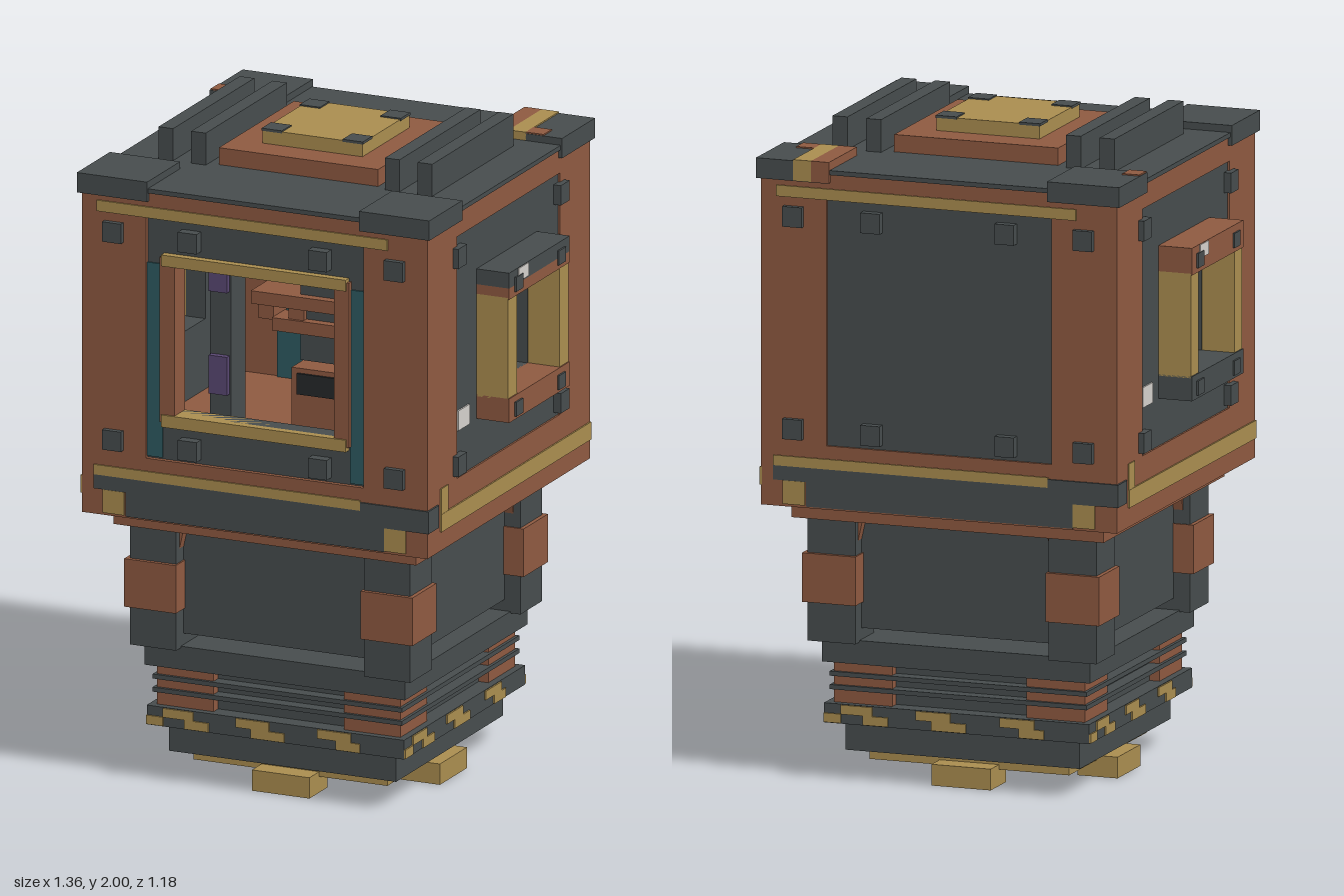
import * as THREE from 'three';

const mat = (name, color) => {
  const m = new THREE.MeshStandardMaterial({ color });
  m.name = name;
  return m;
};

export function createModel() {
  const dark = mat('dark steel', 0x474d4e), rust = mat('rust', 0x8f5a41), gold = mat('brass', 0xab8e50);
  const teal = mat('teal', 0x2e5b62), purple = mat('purple', 0x5a4873);
  const pale = mat('pale grey', 0xd6d2cd), grey = mat('grey', 0x6b6766), black = mat('black', 0x25292a);
  const root = new THREE.Group();
  root.name = 'device';

  // Box given by its limits on each axis
  const box = (parent, name, m, x0, x1, y0, y1, z0, z1) => {
    const mesh = new THREE.Mesh(new THREE.BoxGeometry(x1 - x0, y1 - y0, z1 - z0), m);
    mesh.position.set((x0 + x1) / 2, (y0 + y1) / 2, (z0 + z1) / 2);
    mesh.name = name;
    parent.add(mesh);
    return mesh;
  };
  // Centred square slab
  const slab = (name, m, half, y0, y1) => box(root, name, m, -half, half, y0, y1, -half, half);
  // Square block repeated at the four corners
  const corners = (name, m, a, b, y0, y1) => {
    for (const sx of [-1, 1]) for (const sz of [-1, 1]) {
      const c = sx * (a + b) / 2, d = sz * (a + b) / 2, h = (b - a) / 2;
      box(root, name, m, c - h, c + h, y0, y1, d - h, d + h);
    }
  };
  // Groups for the four sides, each built as if facing +z
  const sides = ['front', 'left', 'back', 'right'].map((n, i) => {
    const g = new THREE.Group();
    g.name = n + 'Side';
    g.rotation.y = i * Math.PI / 2;
    root.add(g);
    return g;
  });
  const [front, left, back, right] = sides;
  // Flat panel with a rectangular hole
  const holedPanel = (parent, name, m, [x, y0, y1], [hx, h0, h1], z, depth) => {
    const rect = (P, w, a, b) => {
      const p = new P();
      p.moveTo(-w, a); p.lineTo(w, a); p.lineTo(w, b); p.lineTo(-w, b); p.closePath();
      return p;
    };
    const s = rect(THREE.Shape, x, y0, y1);
    s.holes.push(rect(THREE.Path, hx, h0, h1));
    const mesh = new THREE.Mesh(new THREE.ExtrudeGeometry(s, { depth, bevelEnabled: false }), m);
    mesh.position.z = z;
    mesh.name = name;
    parent.add(mesh);
  };

  // Feet, socket and stacked base
  slab('footPlate', gold, 0.32, 0.05, 0.085);
  box(root, 'socketRing', pale, -0.135, 0.135, 0.02, 0.05, -0.135, 0.135).rotation.y = Math.PI / 4;
  box(root, 'socket', grey, -0.095, 0.095, 0.003, 0.02, -0.095, 0.095).rotation.y = Math.PI / 4;
  slab('lowerBase', dark, 0.375, 0.085, 0.175);
  slab('hazardPlate', dark, 0.425, 0.175, 0.235);
  slab('finCore', dark, 0.37, 0.235, 0.365);
  slab('lowerFin', dark, 0.412, 0.275, 0.289);
  slab('upperFin', dark, 0.412, 0.316, 0.33);
  corners('baseCornerBlock', rust, 0.215, 0.402, 0.235, 0.362);
  slab('upperBase', dark, 0.43, 0.362, 0.435);
  const stripes = [[-0.425, -0.37, 0], [-0.37, -0.27, 1], [-0.3, -0.22, 0], [-0.13, -0.02, 1],
    [-0.08, 0.03, 0], [0.14, 0.25, 1], [0.2, 0.28, 0]];
  for (const s of sides) {
    box(s, 'foot', gold, -0.095, 0.095, 0, 0.065, 0.26, 0.388);
    for (const [a, b, up] of stripes)
      box(s, 'hazardStripe', gold, a, b, 0.177 + up * 0.028, 0.205 + up * 0.028, 0.424, 0.43);
    // Neck panel and gussets
    box(s, 'neckPanel', dark, -0.32, 0.32, 0.47, 0.81, 0.36, 0.41);
    for (const d of [-1, 1]) {
      const tri = new THREE.Shape([[0.315, 0.81], [0.295, 0.81], [0.315, 0.72]].map(p => new THREE.Vector2(p[0] * d, p[1])));
      const gusset = new THREE.Mesh(new THREE.ExtrudeGeometry(tri, { depth: 0.03, bevelEnabled: false }), rust);
      gusset.position.z = 0.41;
      gusset.name = 'gusset';
      s.add(gusset);
    }
  }

  // Neck posts with cuffs
  slab('neckCore', dark, 0.3, 0.48, 0.81);
  slab('neckUnderside', purple, 0.11, 0.46, 0.48);
  corners('neckPost', dark, 0.31, 0.463, 0.43, 0.815);
  corners('neckCuff', rust, 0.305, 0.476, 0.55, 0.7);
  slab('collar', rust, 0.5, 0.812, 0.862);

  // Main housing
  slab('housingFloor', rust, 0.57, 0.86, 1.055);
  corners('pillar', rust, 0.36, 0.57, 1.05, 1.82);
  slab('housingTop', rust, 0.57, 1.81, 1.886);
  slab('roof', dark, 0.577, 1.886, 1.9);
  corners('roofCap', dark, 0.35, 0.582, 1.86, 1.922);
  box(back, 'backPanel', dark, -0.36, 0.36, 1.05, 1.81, 0.5, 0.562);

  // Front window wall and frame
  holedPanel(front, 'windowWall', dark, [0.36, 1.05, 1.81], [0.27, 1.2, 1.66], 0.5, 0.055);
  for (const d of [-1, 1]) {
    const x = d * 0.335, f = d * 0.288, p = d * 0.24;
    box(front, 'tealStrip', teal, x - 0.025, x + 0.025, 1.06, 1.665, 0.553, 0.56);
    box(front, 'frameSide', rust, f - 0.025, f + 0.025, 1.175, 1.69, 0.5, 0.574);
    box(front, 'innerPost', dark, p - 0.035, p + 0.035, 1.05, 1.81, 0.2, 0.3);
    for (const y of [1.2, 1.52])
      box(front, 'purpleLight', purple, p - 0.03, p + 0.03, y, y + 0.12, 0.3, 0.32);
  }
  box(front, 'frameTop', gold, -0.305, 0.305, 1.665, 1.7, 0.5, 0.58);
  box(front, 'frameBottom', gold, -0.305, 0.305, 1.162, 1.2, 0.5, 0.58);

  // Mechanism inside the window
  box(root, 'innerBack', teal, -0.36, 0.36, 1.05, 1.81, -0.45, -0.35);
  box(root, 'core', dark, -0.07, 0.07, 1.27, 1.65, -0.22, 0.1);
  box(root, 'coreBase', rust, -0.09, 0.09, 1.05, 1.25, -0.15, 0.12);
  box(root, 'coreSlot', black, -0.07, 0.07, 1.17, 1.235, 0.1, 0.128);
  box(root, 'crossbarTop', rust, -0.22, 0.21, 1.435, 1.475, 0, 0.13);
  box(root, 'crossbarBottom', rust, -0.15, 0.15, 1.36, 1.4, 0.04, 0.13);
  box(root, 'crossbarTip', gold, 0.13, 0.21, 1.365, 1.43, 0.04, 0.14);
  for (const x of [-0.2, -0.1, 0.06, 0.14])
    box(root, 'crossbarTooth', rust, x, x + 0.05, 1.39, 1.45, 0.03, 0.12);
  for (const d of [-1, 1])
    box(root, 'coreClip', rust, d * 0.08 - 0.012, d * 0.08 + 0.012, 1.52, 1.58, 0, 0.11);

  // Side walls with square handle rings
  for (const s of [left, right]) {
    const onLeft = s === left;
    holedPanel(s, 'sideWall', dark, [0.36, 1.05, 1.81], [0.145, 1.275, 1.585], 0.5, 0.064);
    for (const d of [-1, 1])
      box(s, 'handleSide', gold, d * 0.18 - 0.032, d * 0.18 + 0.032, 1.27, 1.59, 0.56, 0.668);
    box(s, 'handleTop', rust, -0.212, 0.212, 1.585, 1.62, 0.56, 0.672);
    box(s, 'handleCap', onLeft ? dark : rust, -0.212, 0.212, 1.62, 1.668, 0.56, 0.672);
    box(s, 'handleBottom', onLeft ? rust : dark, -0.212, 0.212, 1.2, 1.275, 0.56, 0.672);
    for (const d of [-1, 1]) for (const y of [1.21, 1.6])
      box(s, 'handleBolt', dark, d * 0.15 - 0.025, d * 0.15 + 0.025, y, y + 0.045, 0.67, 0.678);
    box(s, 'rustPatch', rust, 0.21, 0.36, 1.4, 1.62, 0.562, 0.568);
    box(s, 'palePatch', pale, -0.35, -0.27, 1.2, 1.262, 0.562, 0.569);
    box(s, 'paleChip', pale, -0.15, -0.08, 1.625, 1.666, 0.67, 0.675);
    // Lower trim
    box(s, 'sideTrim', gold, -0.48, 0.57, 0.92, 0.975, 0.567, 0.575);
    box(s, 'cornerTrim', gold, -0.48, -0.43, 0.97, 1.055, 0.567, 0.574);
    box(s, 'cornerPlate', dark, -0.575, -0.5, 0.94, 1.01, 0.567, 0.576);
  }

  // Trim on front and back
  for (const s of [front, back]) {
    box(s, 'topTrim', gold, -0.52, 0.44, 1.808, 1.842, 0.567, 0.575);
    box(s, 'skirt', dark, -0.425, 0.43, 0.865, 0.985, 0.567, 0.574);
    box(s, 'skirtTrim', gold, -0.53, 0.35, 0.984, 1.015, 0.567, 0.575);
    box(s, 'cornerPlate', dark, 0.35, 0.572, 0.94, 1.01, 0.567, 0.576);
    box(s, 'cornerPlate', dark, -0.53, -0.425, 0.94, 0.985, 0.567, 0.574);
    for (const x of [-0.5, 0.43])
      box(s, 'cornerTrim', gold, x, x + 0.07, 0.868, 0.94, 0.567, 0.575);
  }

  // Bolts round the housing
  sides.forEach((s, i) => {
    for (const x of i % 2 ? [-0.36, 0.36] : [-0.465, -0.215, 0.215, 0.465])
      for (const y of [1.1, 1.75])
        box(s, 'bolt', dark, x - 0.031, x + 0.031, y - 0.031, y + 0.031, 0.55, 0.588);
  });

  // Roof rails and pad
  for (const x of [-0.428, -0.32, 0.32, 0.428])
    box(root, 'roofRail', dark, x - 0.024, x + 0.024, 1.89, 2, -0.285, 0.285);
  slab('roofPad', rust, 0.263, 1.89, 1.953);
  slab('roofPlate', gold, 0.165, 1.95, 1.996);
  corners('roofBolt', dark, 0.1, 0.167, 1.992, 2);

  // Worn paint on the back left cap and roof edges
  box(root, 'wornRust', rust, 0.348, 0.405, 1.862, 1.926, -0.584, -0.35);
  box(root, 'wornBrass', gold, 0.405, 0.462, 1.862, 1.926, -0.584, -0.35);
  box(root, 'wornChip', rust, 0.46, 0.52, 1.92, 1.926, -0.41, -0.352);
  box(root, 'wornChip', rust, -0.58, -0.525, 1.92, 1.926, -0.41, -0.352);
  return root;
}
